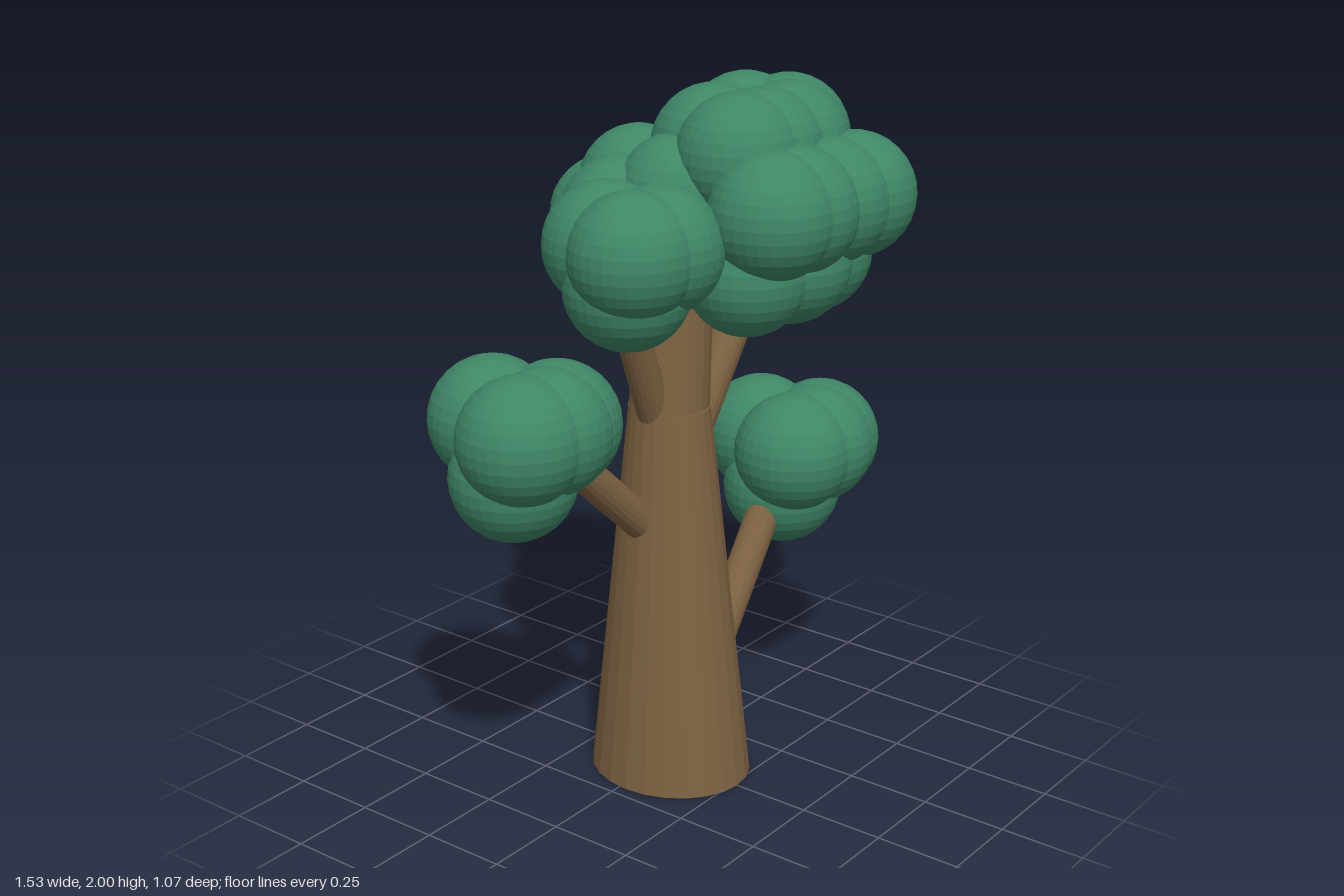
import * as THREE from 'three';

export function createModel() {
  const tree = new THREE.Group();
  tree.name = 'tree';
  const bark = new THREE.MeshStandardMaterial({ color: 0x7d6242, flatShading: true });
  const leaf = new THREE.MeshStandardMaterial({ color: 0x3f8767, flatShading: true });

  // Tapered limb between two points
  function limb(name, from, to, r0, r1, sides = 20) {
    const a = new THREE.Vector3(...from), b = new THREE.Vector3(...to);
    const dir = b.clone().sub(a);
    const mesh = new THREE.Mesh(new THREE.CylinderGeometry(r1, r0, dir.length(), sides), bark);
    mesh.position.copy(a).add(b).multiplyScalar(0.5);
    mesh.quaternion.setFromUnitVectors(new THREE.Vector3(0, 1, 0), dir.normalize());
    mesh.name = name;
    tree.add(mesh);
  }

  // Cluster of leaf balls, each [x, y, z]
  const ball = new THREE.SphereGeometry(0.175, 32, 16);
  function foliage(name, centres, offset = [0, 0, 0]) {
    const group = new THREE.Group();
    group.name = name;
    group.position.set(...offset);
    for (const c of centres) {
      const mesh = new THREE.Mesh(ball, leaf);
      mesh.name = 'leafBall';
      mesh.position.set(...c);
      group.add(mesh);
    }
    tree.add(group);
  }

  // Trunk: wide oval base narrowing and leaning to a round neck
  const trunkGeo = new THREE.CylinderGeometry(1, 1, 1.12, 24, 1);
  trunkGeo.translate(0, 0.56, 0);
  const p = trunkGeo.attributes.position;
  for (let i = 0; i < p.count; i++) {
    const t = p.getY(i) / 1.12;
    p.setX(i, p.getX(i) * THREE.MathUtils.lerp(0.215, 0.112, t) + 0.005 * t);
    p.setZ(i, p.getZ(i) * THREE.MathUtils.lerp(0.242, 0.118, t) + 0.024 - 0.01 * t);
  }
  trunkGeo.computeVertexNormals();
  const trunk = new THREE.Mesh(trunkGeo, bark);
  trunk.name = 'trunk';
  tree.add(trunk);

  // Upper trunk, boughs into the crown, and side branches
  limb('upperTrunk', [0.005, 1.08, 0.012], [0.04, 1.6, 0.01], 0.115, 0.105, 24);
  limb('leftBough', [0.06, 1.03, 0.05], [0.38, 1.52, 0.07], 0.055, 0.05);
  limb('rightBough', [-0.04, 1.06, 0.01], [-0.24, 1.5, 0.04], 0.05, 0.045);
  limb('leftBranch', [0.12, 0.4, 0.11], [0.46, 0.86, 0.1], 0.05, 0.05);
  limb('rightBranch', [-0.08, 0.77, 0], [-0.47, 1.14, -0.04], 0.05, 0.05);

  // Side clusters share one arrangement
  const cluster = [[-0.595, 1.18, -0.01], [-0.44, 1.18, -0.02], [-0.5, 1.18, 0], [-0.51, 1.18, -0.185], [-0.55, 1.05, -0.08]];
  foliage('rightFoliage', cluster);
  foliage('leftFoliage', cluster, [1.03, -0.3, 0.155]);

  // Crown, layer by layer
  foliage('crownTop', [
    [0.105, 1.825, 0.17], [0.2, 1.825, 0.18], [0.32, 1.825, 0.18], [0.41, 1.825, 0.12],
    [0.17, 1.825, 0.04], [0.36, 1.825, 0.01]
  ]);
  foliage('crownFront', [[0.035, 1.7, 0.33], [0.13, 1.7, 0.34], [0.27, 1.7, 0.35], [0.38, 1.7, 0.36]]);
  foliage('crownLeft', [[0.545, 1.64, 0.1], [0.54, 1.64, 0.21], [0.48, 1.64, -0.04], [0.42, 1.68, -0.09]]);
  foliage('crownRight', [[-0.285, 1.625, 0.115], [-0.19, 1.625, 0.13], [-0.23, 1.625, -0.015], [-0.25, 1.53, 0.07]]);
  foliage('crownBack', [
    [-0.03, 1.64, -0.125], [0.04, 1.71, 0.02], [0.22, 1.665, -0.26],
    [0.21, 1.565, -0.36], [0.3, 1.56, -0.22], [0.3, 1.67, -0.1]
  ]);
  foliage('crownUnderside', [
    [0.05, 1.53, 0.24], [0.19, 1.54, 0.28], [0.32, 1.54, 0.26], [0.45, 1.53, 0.16],
    [0.44, 1.53, -0.03], [-0.06, 1.54, -0.03], [0.2, 1.56, 0.02]
  ]);

  return tree;
}
